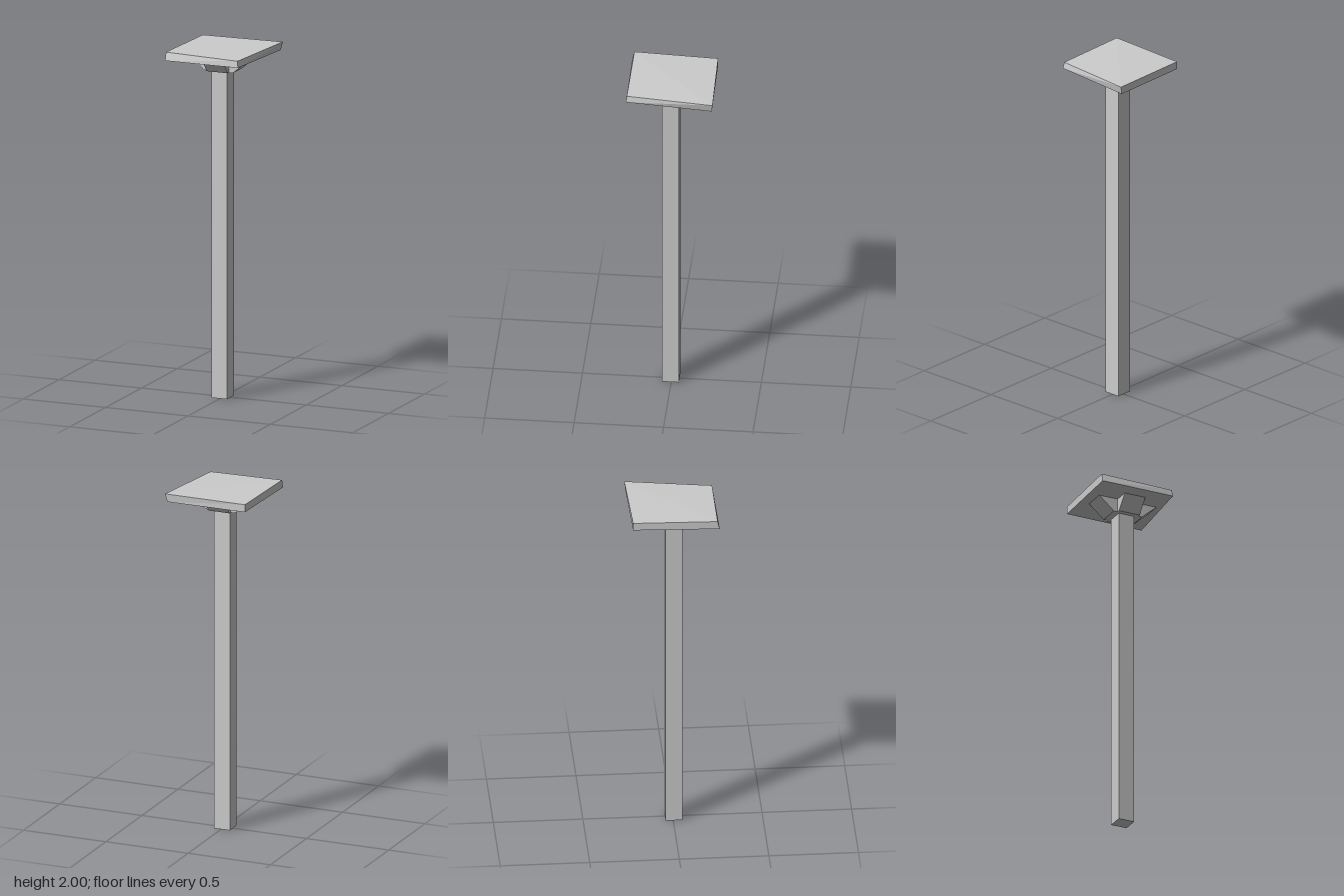
import * as THREE from 'three';

export function createModel() {
  const model = new THREE.Group();
  const grey = new THREE.MeshStandardMaterial({ color: 0xcccccc, flatShading: true });
  grey.name = 'stone grey';

  const add = (name, geometry, parent = model) => {
    const mesh = new THREE.Mesh(geometry, grey);
    mesh.name = name;
    parent.add(mesh);
    return mesh;
  };

  // Square post
  const postTop = 1.955;
  add('post', new THREE.BoxGeometry(0.095, postTop, 0.095)).position.set(-0.005, postTop / 2, 0.005);

  // Rough slab: a box whose eight corners are pulled out of square.
  // Keys are the signs of x, y, z.
  const corners = {
    '-++': [-0.25, 2.0, 0.233], '+++': [0.185, 1.99, 0.235],
    '-+-': [-0.23, 1.997, -0.237], '++-': [0.25, 2.0, -0.25],
    '--+': [-0.25, 1.953, 0.245], '+-+': [0.19, 1.953, 0.24],
    '---': [-0.23, 1.953, -0.237], '+--': [0.238, 1.953, -0.245],
  };
  const slab = new THREE.BoxGeometry(1, 1, 1);
  const p = slab.attributes.position;
  const sign = (v) => (v > 0 ? '+' : '-');
  for (let i = 0; i < p.count; i++) {
    p.setXYZ(i, ...corners[sign(p.getX(i)) + sign(p.getY(i)) + sign(p.getZ(i))]);
  }
  slab.computeVertexNormals();
  add('topSlab', slab);

  // Four wedge brackets under the slab, one on each side of the post
  const width = 0.128;
  const bracketGeometry = (reach, foot) => {
    const profile = new THREE.Shape([
      new THREE.Vector2(0, 1.875), new THREE.Vector2(foot, 1.875),
      new THREE.Vector2(reach, 1.955), new THREE.Vector2(0, 1.955),
    ]);
    return new THREE.ExtrudeGeometry(profile, { depth: width, bevelEnabled: false })
      .translate(0, 0, -width / 2);
  };
  ['leftBracket', 'backBracket', 'rightBracket', 'frontBracket'].forEach((name, i) => {
    const geometry = i % 2 ? bracketGeometry(0.155, 0.08) : bracketGeometry(0.18, 0.088);
    const bracket = add(name, geometry);
    bracket.rotation.y = (i * Math.PI) / 2;
    bracket.position.set(-0.003, 0, 0.002);
  });

  return model;
}
